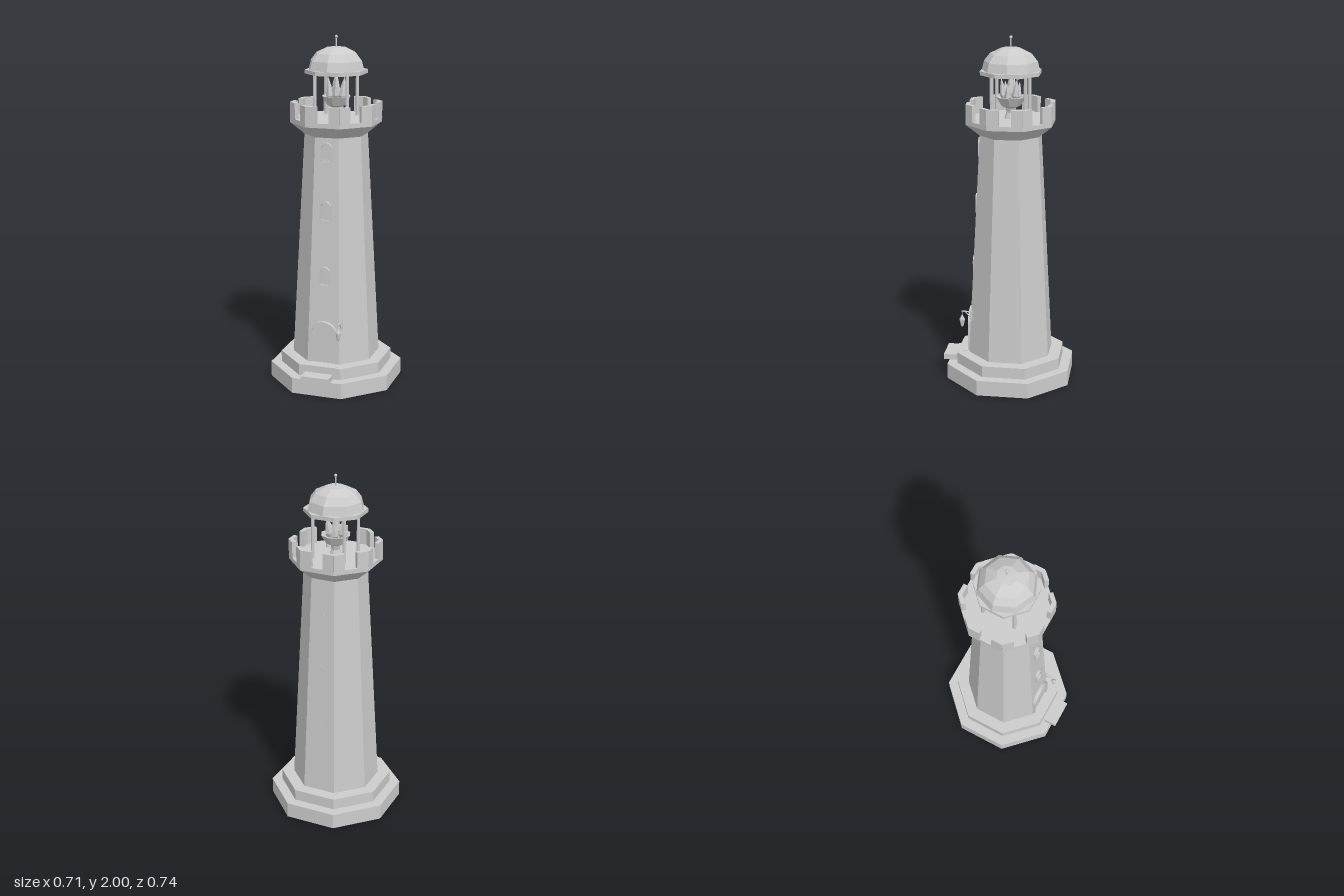
import * as THREE from 'three';

const MAT = new THREE.MeshStandardMaterial({ color: 0xcccccc, flatShading: true, side: THREE.DoubleSide });
const C8 = Math.cos(Math.PI / 8);

function add(parent, name, geometry, x = 0, y = 0, z = 0) {
  const mesh = new THREE.Mesh(geometry, MAT);
  mesh.name = name;
  mesh.position.set(x, y, z);
  parent.add(mesh);
  return mesh;
}

// Octagonal prism with flat faces toward the axes, sized by its apothems
function octagon(parent, name, y0, y1, a0, a1 = a0) {
  const g = new THREE.CylinderGeometry(a1 / C8, a0 / C8, y1 - y0, 8).rotateY(Math.PI / 8);
  return add(parent, name, g, 0, (y0 + y1) / 2, 0);
}

const lathe = (pts, n) => new THREE.LatheGeometry(pts.map(p => new THREE.Vector2(...p)), n);

// Round-topped outline standing on y = 0
function arch(Type, w, h) {
  const s = new Type();
  s.moveTo(-w, 0);
  s.lineTo(w, 0);
  s.lineTo(w, h - w);
  s.absarc(0, h - w, w, 0, Math.PI, false);
  s.lineTo(-w, 0);
  return s;
}

// Arched surround with a recessed panel
function archedOpening(name, w, h, rim, depth, recess) {
  const group = new THREE.Group();
  group.name = name;
  const frame = arch(THREE.Shape, w, h);
  frame.holes.push(arch(THREE.Path, w - rim, h - rim));
  const opts = d => ({ depth: d, bevelEnabled: false, curveSegments: 10 });
  add(group, name + 'Frame', new THREE.ExtrudeGeometry(frame, opts(depth)));
  add(group, name + 'Panel', new THREE.ExtrudeGeometry(arch(THREE.Shape, w - rim, h - rim), opts(depth - recess)));
  return group;
}

// Straight round bar between two points
function bar(parent, name, a, b, r) {
  const curve = new THREE.LineCurve3(new THREE.Vector3(...a), new THREE.Vector3(...b));
  return add(parent, name, new THREE.TubeGeometry(curve, 1, r, 6));
}

export function createModel() {
  const root = new THREE.Group();
  root.name = 'lighthouse';
  const tower = new THREE.Group();
  tower.name = 'tower';
  tower.position.z = -0.018;
  root.add(tower);

  // Stepped base, tapering shaft and flared gallery
  octagon(tower, 'lowerPlinth', 0, 0.09, 0.354);
  octagon(tower, 'upperPlinth', 0.09, 0.155, 0.298);
  octagon(tower, 'shaft', 0.155, 1.45, 0.232, 0.166);
  octagon(tower, 'galleryFlare', 1.45, 1.515, 0.166, 0.24);
  octagon(tower, 'galleryDeck', 1.515, 1.54, 0.24);

  // Two battlement blocks on each of the eight sides
  for (let i = 0; i < 8; i++) {
    const side = new THREE.Group();
    side.name = 'battlementSide';
    side.rotation.y = i * Math.PI / 4;
    for (const s of [-1, 1]) {
      add(side, 'battlement', new THREE.BoxGeometry(0.063, 0.1, 0.024), s * 0.0665, 1.58, 0.228);
    }
    tower.add(side);
  }

  // Lantern room: posts, roof slab, dome and finial
  for (const x of [-0.094, 0.094]) {
    for (const z of [-0.094, 0.094]) {
      add(tower, 'lanternPost', new THREE.CylinderGeometry(0.01, 0.01, 0.26, 8), x, 1.665, z);
    }
  }
  octagon(tower, 'roofSlab', 1.788, 1.81, 0.163);
  add(tower, 'dome', lathe([[0.163, 1.808], [0.15, 1.86], [0.117, 1.902], [0.055, 1.932], [0, 1.936]], 8));
  add(tower, 'finialRod', new THREE.CylinderGeometry(0.004, 0.004, 0.06, 6), 0, 1.96, 0);
  add(tower, 'finialBall', new THREE.SphereGeometry(0.009, 8, 6), 0, 1.991, 0);

  // Fire bowl on a waisted pedestal
  add(tower, 'fireBowl', lathe([
    [0, 1.54], [0.036, 1.54], [0.024, 1.575], [0.03, 1.6], [0.055, 1.612],
    [0.085, 1.662], [0.072, 1.662], [0.045, 1.635], [0, 1.63]], 8));
  const flame = (h, r) => lathe([[0, 0], [r, h * 0.3], [r * 0.65, h * 0.62], [0, h]], 5);
  add(tower, 'centreFlame', flame(0.175, 0.028), 0, 1.63, 0);
  for (let i = 0; i < 6; i++) {
    const a = i * Math.PI / 3 + 0.3;
    const m = add(tower, 'flame', flame(i % 2 ? 0.115 : 0.14, 0.022), Math.sin(a) * 0.035, 1.63, Math.cos(a) * 0.035);
    m.rotation.set(Math.cos(a) * 0.14, 0, -Math.sin(a) * 0.14);
  }

  // Front windows, top heights following the sloping wall
  for (const [top, z] of [[0.72, 0.2], [1.095, 0.182], [1.425, 0.164]]) {
    const win = archedOpening('window', 0.033, 0.105, 0.008, 0.04, 0.01);
    win.position.set(0, top - 0.105, z - 0.04);
    root.add(win);
  }

  // Small cross-shaped slits up the back
  for (const y of [0.56, 0.93, 1.25]) {
    const z = -0.232 + (y - 0.155) * 0.051;
    add(tower, 'slitUpright', new THREE.BoxGeometry(0.008, 0.036, 0.008), 0, y, z);
    add(tower, 'slitCrossbar', new THREE.BoxGeometry(0.03, 0.008, 0.008), 0, y, z);
  }

  // Double door with threshold and step
  const door = archedOpening('door', 0.085, 0.25, 0.011, 0.05, 0.009);
  door.position.set(0, 0.153, 0.173);
  add(door, 'doorSeam', new THREE.BoxGeometry(0.004, 0.232, 0.004), 0, 0.118, 0.042);
  root.add(door);
  add(root, 'threshold', new THREE.BoxGeometry(0.19, 0.066, 0.08), 0, 0.124, 0.241);
  add(root, 'doorStep', new THREE.BoxGeometry(0.164, 0.032, 0.077), 0, 0.106, 0.332);

  // Hanging lamp on a bracket beside the door
  const lamp = new THREE.Group();
  lamp.name = 'doorLamp';
  lamp.position.x = 0.103;
  bar(lamp, 'bracketArm', [0, 0.408, 0.185], [0, 0.408, 0.256], 0.004);
  bar(lamp, 'bracketBrace', [0, 0.365, 0.195], [0, 0.405, 0.235], 0.003);
  bar(lamp, 'bracketPlate', [0, 0.355, 0.197], [0, 0.415, 0.197], 0.006);
  bar(lamp, 'lampHook', [0, 0.385, 0.253], [0, 0.41, 0.253], 0.002);
  add(lamp, 'lampBody', lathe([[0, 0.31], [0.008, 0.318], [0.015, 0.35], [0.016, 0.36], [0.006, 0.38], [0, 0.39]], 6), 0, 0, 0.253);
  root.add(lamp);

  return root;
}
